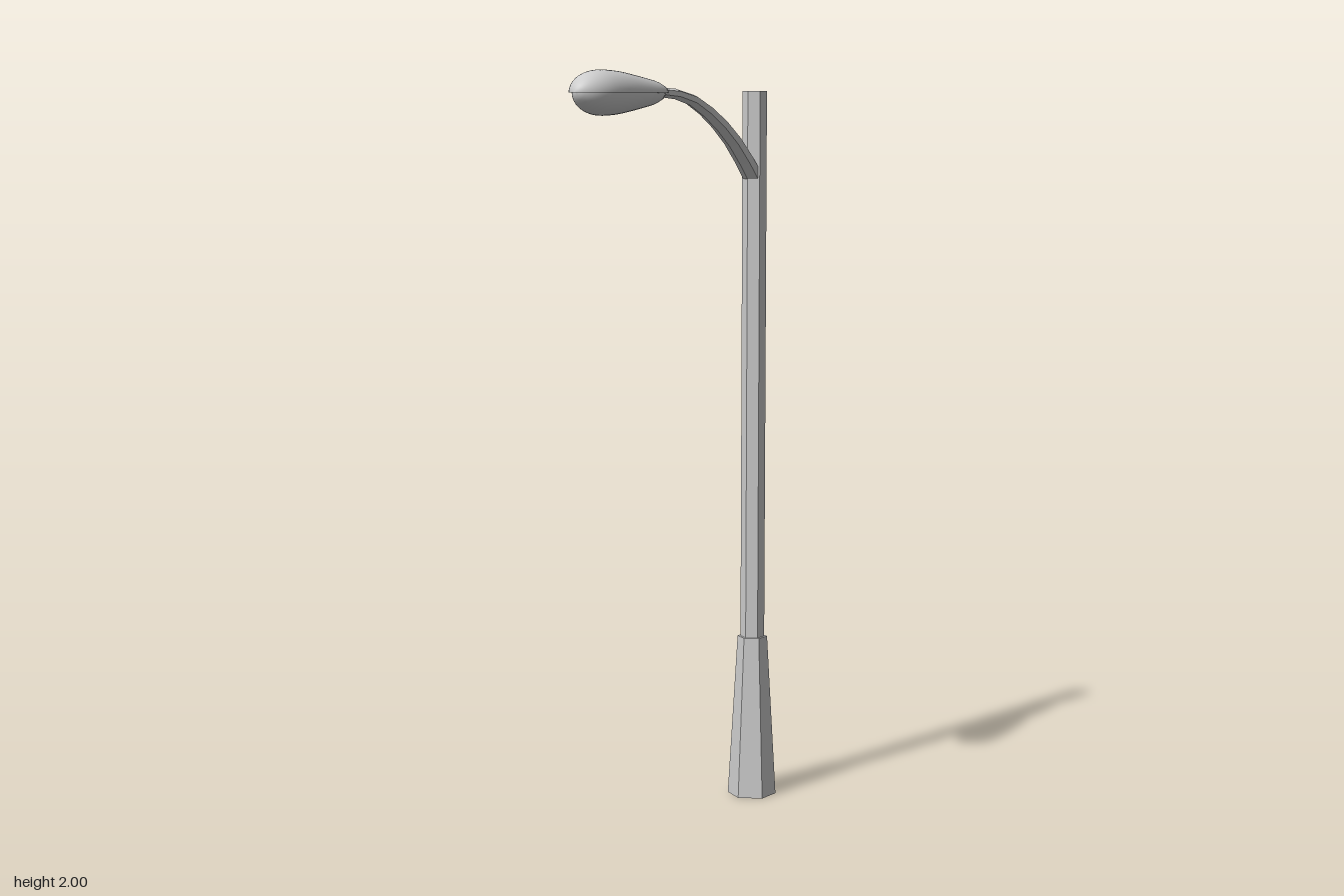
import * as THREE from 'three';

const POLE_Z = -0.36;
const LAMP_Y = 1.944;
const SIDES = 6;

const flatGrey = new THREE.MeshStandardMaterial({ color: 0xcccccc, flatShading: true });
const smoothGrey = new THREE.MeshStandardMaterial({ color: 0xcccccc });

function addMesh(parent, name, geometry, material) {
  const mesh = new THREE.Mesh(geometry, material);
  mesh.name = name;
  parent.add(mesh);
  return mesh;
}

// Upright hexagonal section of the post
function hexPost(rTop, rBottom, y0, y1) {
  return new THREE.CylinderGeometry(rTop, rBottom, y1 - y0, SIDES)
    .translate(0, (y0 + y1) / 2, POLE_Z);
}

// Tapering hexagonal tube swept along a curve in the yz plane
function taperedArm(curve, steps, start, end) {
  const positions = [];
  const index = [];
  for (let i = 0; i <= steps; i++) {
    const t = i / steps;
    const p = curve.getPointAt(t);
    const d = curve.getTangentAt(t);
    const w = THREE.MathUtils.lerp(start.w, end.w, t) / Math.cos(Math.PI / 6);
    const h = THREE.MathUtils.lerp(start.h, end.h, t);
    for (let j = 0; j < SIDES; j++) {
      const a = (j / SIDES) * Math.PI * 2;
      const up = Math.cos(a) * h;
      positions.push(Math.sin(a) * w, p.y + up * d.z, p.z - up * d.y);
      if (i < steps) {
        const k = (j + 1) % SIDES;
        const [a0, b0] = [i * SIDES + j, i * SIDES + k];
        const [a1, b1] = [a0 + SIDES, b0 + SIDES];
        index.push(a0, a1, b0, b0, a1, b1);
      }
    }
  }
  // End caps
  const last = steps * SIDES;
  for (let j = 1; j < SIDES - 1; j++) {
    index.push(0, j, j + 1, last, last + j + 1, last + j);
  }
  const geometry = new THREE.BufferGeometry();
  geometry.setAttribute('position', new THREE.Float32BufferAttribute(positions, 3));
  geometry.setIndex(index);
  geometry.computeVertexNormals();
  return geometry;
}

// Half of a teardrop turned around the z axis
function halfTeardrop(profile, phiStart) {
  return new THREE.LatheGeometry(profile, 20, phiStart, Math.PI).rotateX(Math.PI / 2);
}

export function createModel() {
  const model = new THREE.Group();
  model.name = 'streetLamp';

  // Post: flared foot and slim shaft
  addMesh(model, 'base', hexPost(0.041, 0.067, 0, 0.45), flatGrey);
  addMesh(model, 'pole', hexPost(0.033, 0.033, 0.44, 1.95), flatGrey);

  // Curved arm rising out of the pole
  const path = new THREE.CatmullRomCurve3([
    [1.712, -0.36], [1.738, -0.335], [1.797, -0.28], [1.88, -0.165],
    [1.934, -0.04], [1.946, 0.08],
  ].map(([y, z]) => new THREE.Vector3(0, y, z)));
  addMesh(model, 'arm', taperedArm(path, 7, { w: 0.025, h: 0.023 }, { w: 0.017, h: 0.012 }), flatGrey);

  // Teardrop outline of the lamp head: radius, z
  const outline = new THREE.SplineCurve([
    [0.02, 0.064], [0.032, 0.1], [0.041, 0.15], [0.049, 0.2], [0.056, 0.25], [0.06, 0.3],
    [0.059, 0.345], [0.05, 0.38], [0.035, 0.405], [0.016, 0.422], [0, 0.427],
  ].map(([r, z]) => new THREE.Vector2(r, z))).getPoints(24);
  outline[outline.length - 1].x = 0;
  const profile = [new THREE.Vector2(0, 0.064), ...outline];

  const head = new THREE.Group();
  head.name = 'lampHead';
  head.position.y = LAMP_Y;
  model.add(head);

  // Upper housing
  const housing = addMesh(head, 'housing', halfTeardrop(profile, Math.PI / 2), smoothGrey);
  housing.scale.y = 0.935;

  // Flat underside of the housing, showing as a narrow rim around the lens
  const rimShape = new THREE.Shape([
    ...outline,
    ...outline.slice(0, -1).reverse().map((p) => new THREE.Vector2(-p.x, p.y)),
  ]);
  addMesh(head, 'rim', new THREE.ShapeGeometry(rimShape).rotateX(Math.PI / 2), flatGrey);

  // Lower lens, slightly inset from the rim
  const lens = addMesh(head, 'lens', halfTeardrop(profile, -Math.PI / 2), smoothGrey);
  lens.scale.set(0.9, 0.945, 0.95);
  lens.position.z = 0.0125;

  return model;
}
